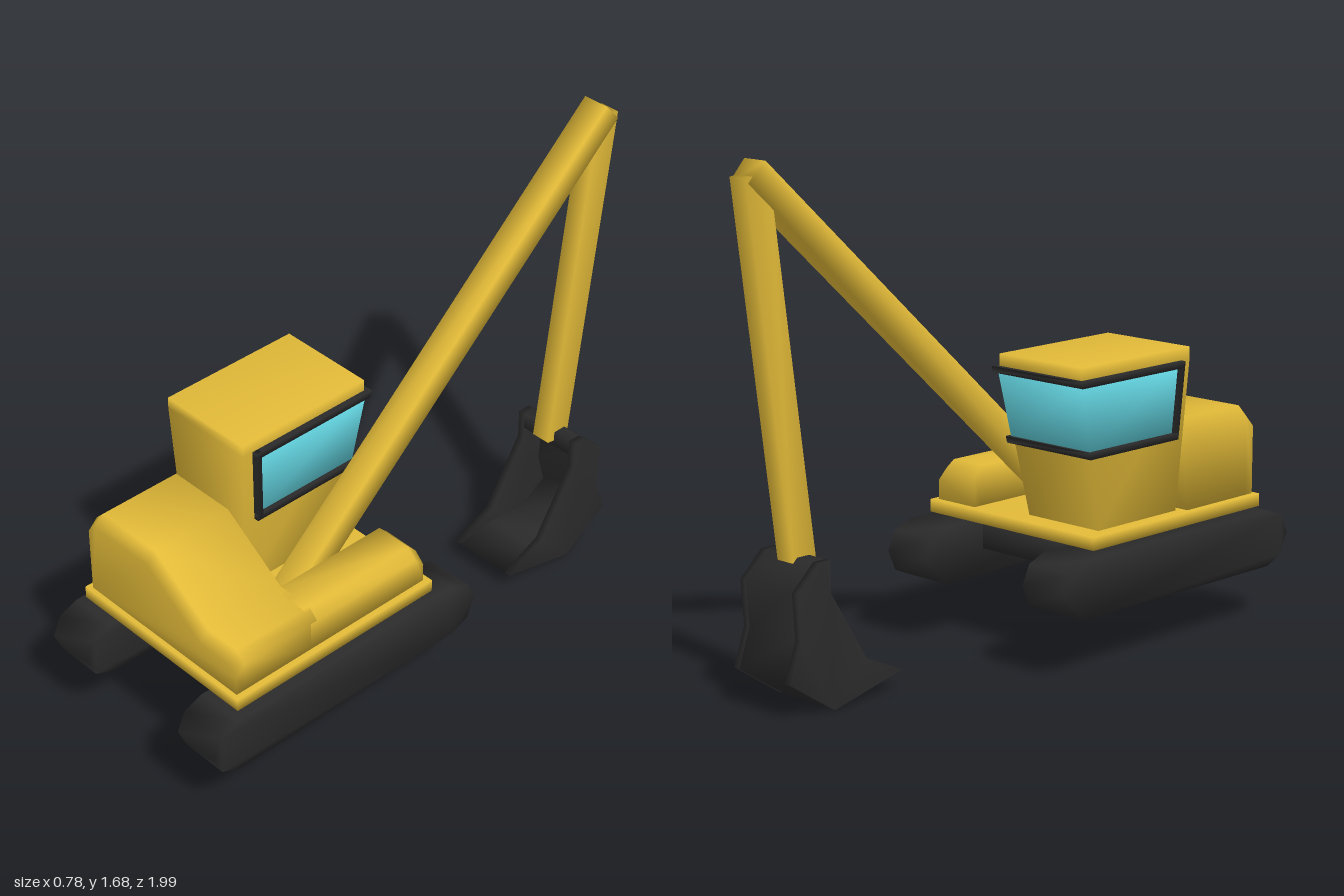
import * as THREE from 'three';
import { mergeVertices } from 'three/addons/utils/BufferGeometryUtils.js';

const paint = (color) => new THREE.MeshStandardMaterial({ color });

export function createModel() {
  const model = new THREE.Group();
  const yellow = paint(0xe2ba38), dark = paint(0x2a2a2a), glass = paint(0x62d2de);

  function add(name, geometry, material, parent = model) {
    const mesh = new THREE.Mesh(geometry, material);
    mesh.name = name;
    parent.add(mesh);
    return mesh;
  }

  // Share corners so that the shading runs smoothly over the edges
  function soften(geometry) {
    geometry.deleteAttribute('normal');
    geometry.deleteAttribute('uv');
    const merged = mergeVertices(geometry, 1e-4);
    merged.computeVertexNormals();
    return merged;
  }

  // Side profile of [z, y] points, carried from x0 to x1
  function slab(profile, x0, x1) {
    const shape = new THREE.Shape(profile.map(([z, y]) => new THREE.Vector2(-z, y)));
    const g = new THREE.ExtrudeGeometry(shape, { depth: x1 - x0, bevelEnabled: false });
    return soften(g.rotateY(Math.PI / 2).translate(x0, 0, 0));
  }

  // Solid through a row of equal-sized rings of [x, y, z] points
  function loft(rings) {
    const n = rings[0].length, last = (rings.length - 1) * n, index = [];
    for (let r = 0; r < last; r += n) {
      for (let i = 0; i < n; i++) {
        const j = (i + 1) % n;
        index.push(r + i, r + j, r + n + j, r + i, r + n + j, r + n + i);
      }
    }
    for (let i = 1; i < n - 1; i++) {
      index.push(0, i + 1, i, last, last + i, last + i + 1);
    }
    const g = new THREE.BufferGeometry();
    g.setAttribute('position', new THREE.Float32BufferAttribute(rings.flat(2), 3));
    g.setIndex(index);
    g.computeVertexNormals();
    return g;
  }

  // Square beam between two [z, y] points
  function beam(a, b, thick, x0, x1) {
    const dz = b[0] - a[0], dy = b[1] - a[1], k = thick / 2 / Math.hypot(dz, dy);
    const p = ([z, y], s) => [z - s * dy * k, y + s * dz * k];
    return slab([p(a, -1), p(b, -1), p(b, 1), p(a, 1)], x0, x1);
  }

  function box(x0, x1, y0, y1, z0, z1) {
    const g = new THREE.BoxGeometry(x1 - x0, y1 - y0, z1 - z0);
    return soften(g.translate((x0 + x1) / 2, (y0 + y1) / 2, (z0 + z1) / 2));
  }

  // Tracks and the frame between them
  const track = [[1, 0.3], [0.97, 0.365], [0.9, 0.392], [-0.01, 0.392], [-0.08, 0.365],
    [-0.11, 0.3], [-0.08, 0.23], [-0.01, 0.2], [0.9, 0.2], [0.97, 0.23]];
  add('rightTrack', slab(track, -0.39, -0.22), dark);
  add('leftTrack', slab(track, 0.22, 0.39), dark);
  add('underFrame', box(-0.19, 0.19, 0.3, 0.395, 0.13, 0.75), dark);

  // Deck
  add('deck', box(-0.365, 0.365, 0.407, 0.45, 0.06, 0.88), yellow);

  // Engine housing and side housing, with the top dropping at the outer ends
  const ring = (outline, z, drop) => outline.map(([x, y]) => [x, y > 0.46 ? y - drop : y, z]);
  const engine = [[-0.345, 0.45], [0.345, 0.45], [0.345, 0.55], [0.31, 0.585],
    [0.18, 0.585], [-0.06, 0.75], [-0.31, 0.75], [-0.345, 0.715]];
  add('engineHousing', loft([ring(engine, 0.535, 0), ring(engine, 0.83, 0),
    ring(engine, 0.865, 0.035)]), yellow);
  const side = [[0.18, 0.45], [0.345, 0.45], [0.345, 0.55], [0.31, 0.585], [0.18, 0.585]];
  add('sideHousing', loft([ring(side, 0.08, 0.035), ring(side, 0.115, 0),
    ring(side, 0.56, 0)]), yellow);

  // Cab: front and outer side lean outward with height
  const cab = new THREE.Group();
  cab.name = 'cab';
  model.add(cab);
  function cabRing(y, out, back, front) {
    const h = Math.min(y, 0.96);
    const xl = -0.37 + (0.96 - h) * 0.1 - out, xr = -0.018 + out;
    const zf = front ?? -0.005 + (0.96 - h) * 0.27 - out;
    return [[xl, y, back], [xr, y, back], [xr, y, zf], [xl, y, zf]];
  }
  const cabPart = (name, ys, out, back, material, front) =>
    add(name, loft(ys.map((y) => cabRing(y, out, back, front))), material, cab);
  cabPart('cabBody', [0.45, 0.96, 1], 0, 0.505, yellow);
  cabPart('window', [0.715, 0.95], 0.006, 0.455, glass);
  cabPart('windowSill', [0.7, 0.723], 0.018, 0.465, dark);
  cabPart('windowHeader', [0.938, 0.96], 0.018, 0.465, dark);
  cabPart('windowPosts', [0.7, 0.96], 0.018, 0.465, dark, 0.443);

  // Digging arm
  add('boom', beam([0.422, 0.42], [-0.95, 1.653], 0.085, 0.033, 0.127), yellow);
  add('stick', beam([-0.78, 0.44], [-0.943, 1.643], 0.092, 0.046, 0.116), yellow);

  // Bucket: curved shell closed by two cheeks
  const bucket = new THREE.Group();
  bucket.name = 'bucket';
  model.add(bucket);
  const back = [[-0.764, 0.476], [-0.812, 0.476], [-0.898, 0.396], [-0.887, 0.246],
    [-0.93, 0.123], [-0.753, 0.005], [-0.469, 0.07]];
  const mouth = [[-0.62, 0.14], [-0.705, 0.278], [-0.764, 0.375]];
  const inside = [[-0.62, 0.09], [-0.76, 0.075], [-0.875, 0.14], [-0.845, 0.25],
    [-0.855, 0.375], [-0.8, 0.42], [-0.764, 0.42]];
  add('bucketShell', slab([...back, ...inside], -0.025, 0.185), dark, bucket);
  add('bucketRightCheek', slab([...back, ...mouth], -0.05, -0.025), dark, bucket);
  add('bucketLeftCheek', slab([...back, ...mouth], 0.185, 0.21), dark, bucket);

  return model;
}
